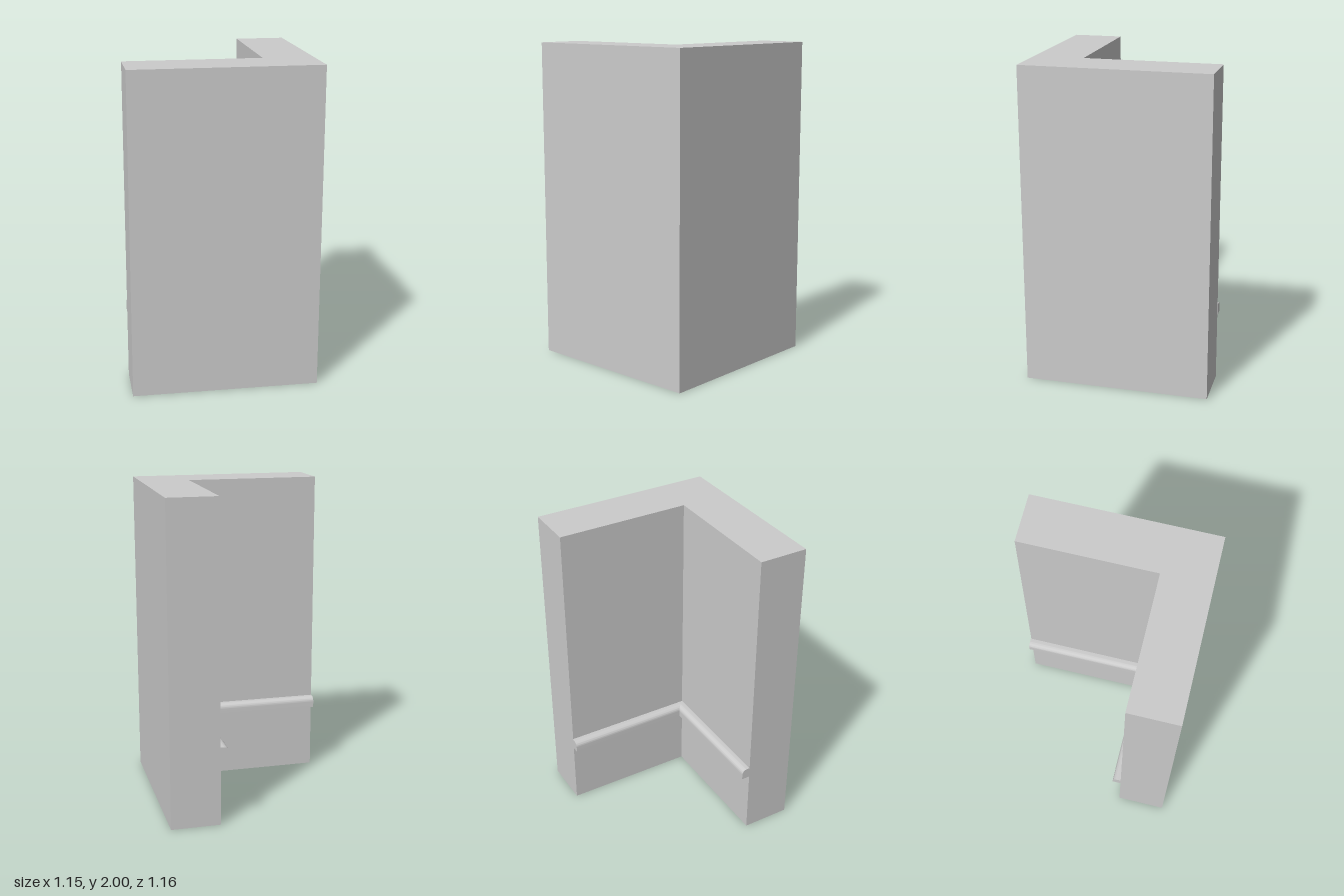
import * as THREE from 'three';
import { toCreasedNormals } from 'three/addons/utils/BufferGeometryUtils.js';

const LEFT = 0.575, RIGHT = -0.577, FRONT = 0.577, BACK = -0.577;
const INNER_X = 0.265, INNER_Z = 0.267; // inside corner of the walls
const HEIGHT = 2;

// L-shaped plan raised to full height (shape y is -z)
function wallGeometry() {
  const plan = new THREE.Shape([
    [RIGHT, -FRONT], [LEFT, -FRONT], [LEFT, -BACK],
    [INNER_X, -BACK], [INNER_X, -INNER_Z], [RIGHT, -INNER_Z],
  ].map(([x, y]) => new THREE.Vector2(x, y)));
  const geometry = new THREE.ExtrudeGeometry(plan, { depth: HEIGHT, bevelEnabled: false });
  return geometry.rotateX(-Math.PI / 2);
}

// Rail section: x is the distance out from the wall, with a rounded upper edge
function railProfile() {
  const depth = 0.054, bottom = 0.43, top = 0.5, r = 0.032;
  const shape = new THREE.Shape();
  shape.moveTo(0, bottom);
  shape.lineTo(depth, bottom);
  shape.lineTo(depth, top - r);
  shape.absarc(depth - r, top - r, r, 0, Math.PI / 2, false);
  shape.lineTo(0, top);
  shape.closePath();
  return shape;
}

// Extrude the section, then place each vertex by (distance out, fraction along)
function railGeometry(place) {
  const geometry = new THREE.ExtrudeGeometry(railProfile(), {
    depth: 1, bevelEnabled: false, curveSegments: 8,
  });
  const p = geometry.attributes.position;
  for (let i = 0; i < p.count; i++) {
    const [x, z] = place(p.getX(i), p.getZ(i));
    p.setXYZ(i, x, p.getY(i), z);
  }
  return toCreasedNormals(geometry, Math.PI / 6);
}

export function createModel() {
  const group = new THREE.Group();
  group.name = 'cornerWallWithRail';
  const material = new THREE.MeshStandardMaterial({ color: 0xcccccc });
  const add = (name, geometry) => {
    const mesh = new THREE.Mesh(geometry, material);
    mesh.name = name;
    group.add(mesh);
  };

  add('cornerWall', wallGeometry());

  // Two rail lengths, mitred where they meet in the inside corner
  const lerp = THREE.MathUtils.lerp;
  add('frontWallRail', railGeometry((d, t) => [lerp(RIGHT, INNER_X - d, t), INNER_Z - d]));
  add('sideWallRail', railGeometry((d, t) => [INNER_X - d, lerp(INNER_Z - d, BACK - 0.003, t)]));

  return group;
}
